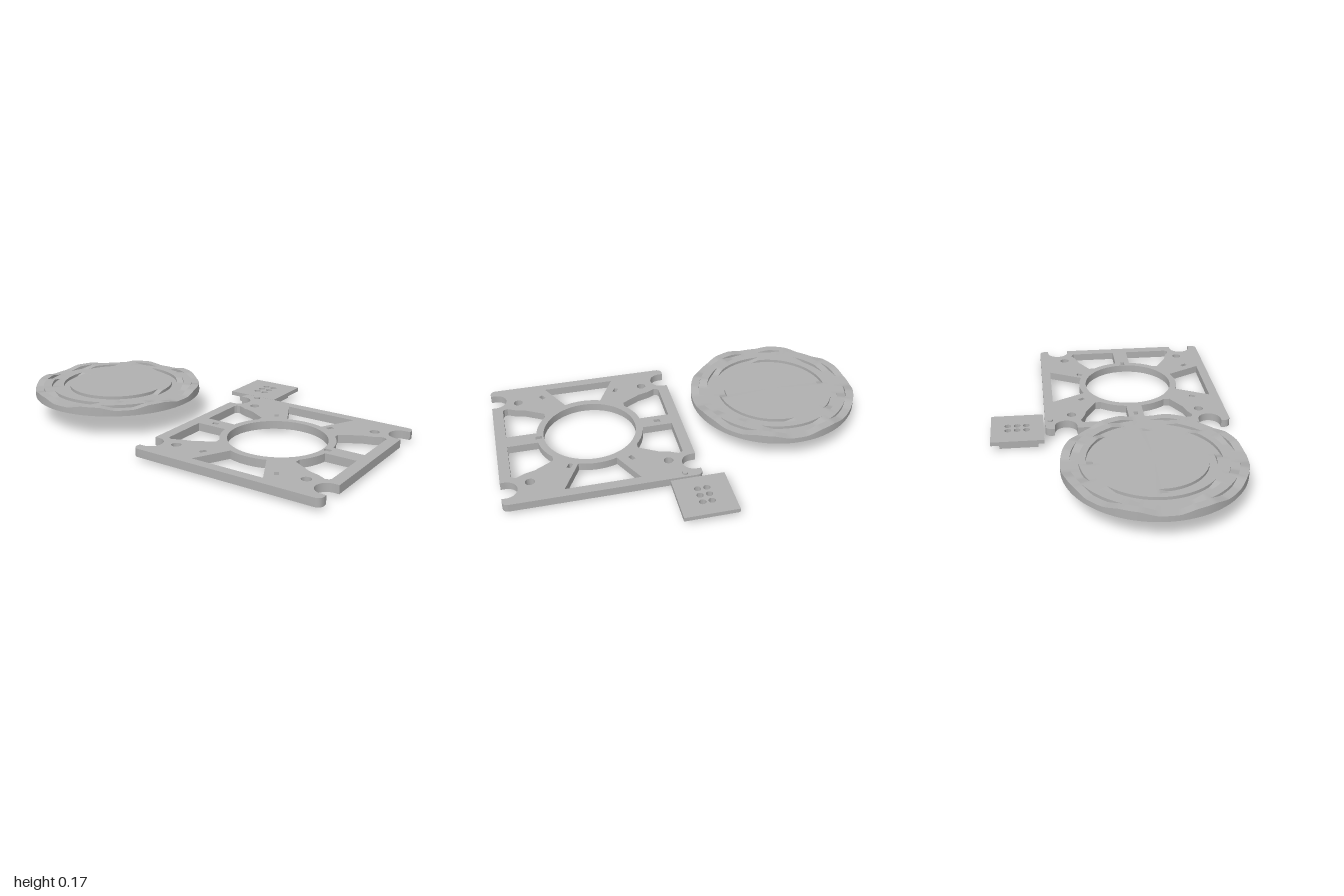
import * as THREE from 'three';
import { toCreasedNormals } from 'three/addons/utils/BufferGeometryUtils.js';

const V = (x, z) => new THREE.Vector2(x, z);

// points along an arc in the ground plane
function arc(cx, cz, r, a0, a1, n = 16) {
  return Array.from({ length: n + 1 }, (_, i) => {
    const a = a0 + (a1 - a0) * i / n;
    return V(cx + r * Math.cos(a), cz + r * Math.sin(a));
  });
}
const circle = (x, z, r, n = 32) => arc(x, z, r, 0, Math.PI * 2, n).slice(0, -1);
const rect = (x, z, w, d, a = 0) => [[-1, -1], [1, -1], [1, 1], [-1, 1]].map(
  ([i, j]) => V(i * w / 2, j * d / 2).rotateAround(V(0, 0), a).add(V(x, z)));

// flat outline in x,z with holes, from height y0 to y1
function slab(outline, holes, y0, y1) {
  const shape = new THREE.Shape(outline);
  shape.holes = holes.map(h => new THREE.Path(h));
  const g = new THREE.ExtrudeGeometry(shape, { depth: y1 - y0, bevelEnabled: false });
  g.rotateX(Math.PI / 2).translate(0, y1, 0);
  return toCreasedNormals(g, 0.6);
}

// disc top with concentric coded tracks, each rising and falling round the circle
function codedTop(bottom, top, R) {
  const radii = [0.265, 0.3, 0.33, 0.365, 0.41, R];
  const cycles = [1, 1, 2, 4, 8];
  const phase = [0, Math.PI / 2, Math.PI / 2, Math.PI / 2, Math.PI / 2];
  const depth = 0.016, N = 256;
  const section = a => {
    const p = [[0, top], [radii[0], top]];
    cycles.forEach((c, k) => {
      const low = THREE.MathUtils.clamp(0.5 + Math.sin(c * a + phase[k]) * 6 / c, 0, 1);
      const y = top - depth * low;
      p.push([radii[k], y], [radii[k + 1], y]);
    });
    p.push([R, bottom], [0, bottom]);
    return p.map(([r, y]) => [r * Math.cos(a), y, r * Math.sin(a)]);
  };
  const pos = [];
  for (let i = 0; i < N; i++) {
    const s = section(i / N * Math.PI * 2), t = section((i + 1) / N * Math.PI * 2);
    for (let j = 0; j < s.length - 1; j++) {
      pos.push(...s[j], ...t[j], ...t[j + 1], ...s[j], ...t[j + 1], ...s[j + 1]);
    }
  }
  const g = new THREE.BufferGeometry();
  g.setAttribute('position', new THREE.Float32BufferAttribute(pos, 3));
  return toCreasedNormals(g, 0.3);
}

export function createModel() {
  const model = new THREE.Group();
  const grey = new THREE.MeshStandardMaterial({ color: 0xb0b0b0 });
  grey.name = 'grey plastic';
  const add = (parent, name, geometry) => {
    const m = new THREE.Mesh(geometry, grey);
    m.name = name;
    parent.add(m);
    return m;
  };
  const group = (name, x, z) => {
    const g = new THREE.Group();
    g.name = name;
    g.position.set(x, 0, z);
    model.add(g);
    return g;
  };

  // coded wheel with blind locating hole and keyed hub
  const wheel = group('codedWheel', -0.546, 0.143);
  const R = 0.454;
  add(wheel, 'codedTracks', codedTop(0.141, 0.173, R));
  add(wheel, 'wheelBase', slab(circle(0, 0, R, 128), [circle(0, -0.3, 0.028)], 0.127, 0.141));
  const keyed = circle(0, 0, 0.058).map(p => V(p.x, THREE.MathUtils.clamp(p.y, -0.036, 0.036)));
  add(wheel, 'hub', slab(circle(0, 0, 0.085, 48), [keyed], 0, 0.127));

  // square frame: one corner outline, mirrored into four
  const frame = group('mountingFrame', 0.492, 0.142);
  const H = 0.507, nx = 0.484, nz = 0.395, nr = 0.0615, ring = 0.289;
  const corner = [
    V(H, nz - nr), ...arc(nx, nz, nr, -Math.PI / 2, -Math.PI * 1.5, 20), V(H, nz + nr),
    ...arc(H - 0.03, H - 0.03, 0.03, 0, Math.PI / 2, 8),
  ];
  const mirror = (pts, sx, sz) => pts.map(p => V(p.x * sx, p.y * sz));
  const outline = [
    ...corner, ...mirror(corner, -1, 1).reverse(),
    ...mirror(corner, -1, -1), ...mirror(corner, 1, -1).reverse(),
  ];

  // side windows, end windows and screw holes around the central ring
  const sideWindow = [
    V(0.449, 0.043), V(0.449, 0.294), V(0.441, 0.305), V(0.423, 0.31), V(0.38, 0.288),
    V(0.326, 0.273), V(0.225, 0.214), V(0.225, 0.182), ...arc(0, 0, ring, 0.68, 0.15, 10),
  ];
  const endWindow = [V(-0.195, 0.455), V(0.195, 0.455), ...arc(0, 0, ring, 1.215, Math.PI - 1.215, 16)];
  const holes = [circle(0, 0, 0.251, 96), endWindow, mirror(endWindow, 1, -1)];
  for (const sx of [-1, 1]) for (const sz of [-1, 1]) {
    holes.push(mirror(sideWindow, sx, sz), circle(sx * 0.358, sz * 0.358, 0.025));
  }
  // small slots along the six arms
  const slots = [[-0.374, 0, 0], [0.278, 0, 0], [-0.177, -0.289, 1.05], [0.146, -0.278, -1.05],
    [-0.203, 0.353, -1.05], [0.219, 0.38, 1.05]];
  for (const [x, z, a] of slots) holes.push(rect(x, z, 0.035, 0.023, a));
  add(frame, 'framePlate', slab(outline, holes, 0.02, 0.063));
  const pin = add(frame, 'indexPin', new THREE.CylinderGeometry(0.015, 0.015, 0.02, 24));
  pin.position.set(-0.417, 0.062, -0.479);

  // square cap with six through holes and a smaller block beneath
  const cap = group('holedCap', 0.019, -0.517);
  const pinHoles = [];
  for (const x of [-0.023, 0.025]) for (const z of [-0.05, 0, 0.05]) pinHoles.push(circle(x, z, 0.018, 24));
  add(cap, 'capPlate', slab(rect(0, 0, 0.283, 0.284), pinHoles, 0.038, 0.06));
  add(cap, 'capBlock', slab(rect(-0.005, 0.006, 0.207, 0.207), pinHoles, 0, 0.038));

  return model;
}
